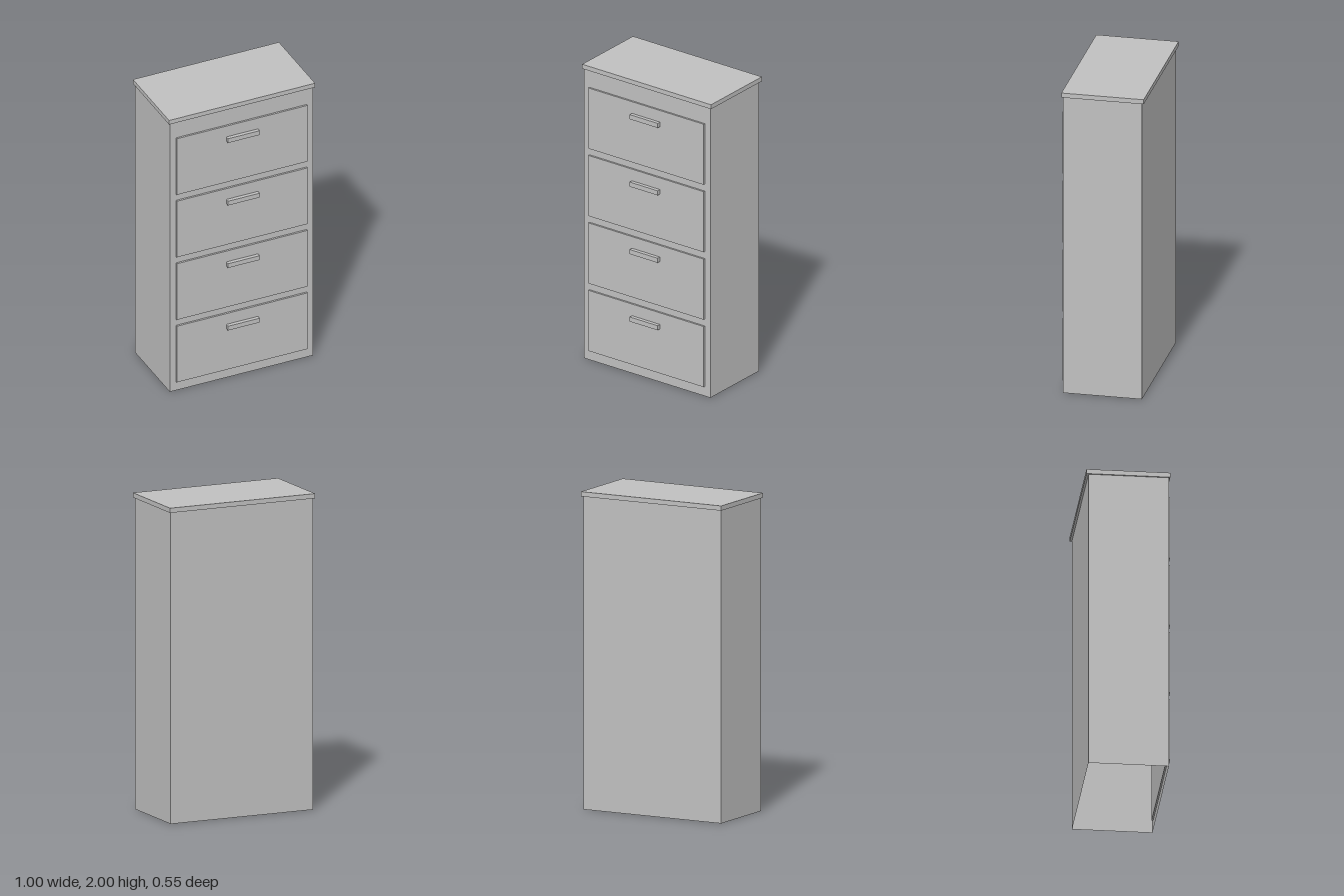
import * as THREE from 'three';

const painted = new THREE.MeshStandardMaterial({ color: 0xc0c0c0 });
painted.name = 'grey paint';
const shellPaint = painted.clone(); // same grey, seen from inside as well
shellPaint.side = THREE.DoubleSide;

// Box given by its extents along each axis
function block(name, [x0, x1], [y0, y1], [z0, z1], material = painted) {
  const geometry = new THREE.BoxGeometry(x1 - x0, y1 - y0, z1 - z0);
  const mesh = new THREE.Mesh(geometry, material);
  mesh.position.set((x0 + x1) / 2, (y0 + y1) / 2, (z0 + z1) / 2);
  mesh.name = name;
  return mesh;
}

export function createModel() {
  const cabinet = new THREE.Group();
  cabinet.name = 'drawerCabinet';

  // Thin-walled carcass: four sides only, open underneath, closed by the top
  const carcass = block('carcass', [-0.491, 0.489], [0, 1.97], [-0.261, 0.239], shellPaint);
  const index = Array.from(carcass.geometry.index.array);
  index.splice(12, 12); // the upper and lower faces
  carcass.geometry.setIndex(index);
  carcass.geometry.clearGroups();
  cabinet.add(carcass);

  // Overhanging top board
  cabinet.add(block('topBoard', [-0.5, 0.5], [1.97, 2], [-0.275, 0.247]));

  // Four identical drawers, each with a bar handle
  for (let i = 0; i < 4; i++) {
    const drawer = new THREE.Group();
    drawer.name = `drawer${i + 1}`;
    drawer.position.y = 0.065 + i * 0.459;
    drawer.add(
      block('drawerFront', [-0.449, 0.446], [0, 0.412], [0.229, 0.251]),
      block('handle', [-0.11, 0.107], [0.302, 0.333], [0.249, 0.275]),
    );
    cabinet.add(drawer);
  }
  return cabinet;
}
